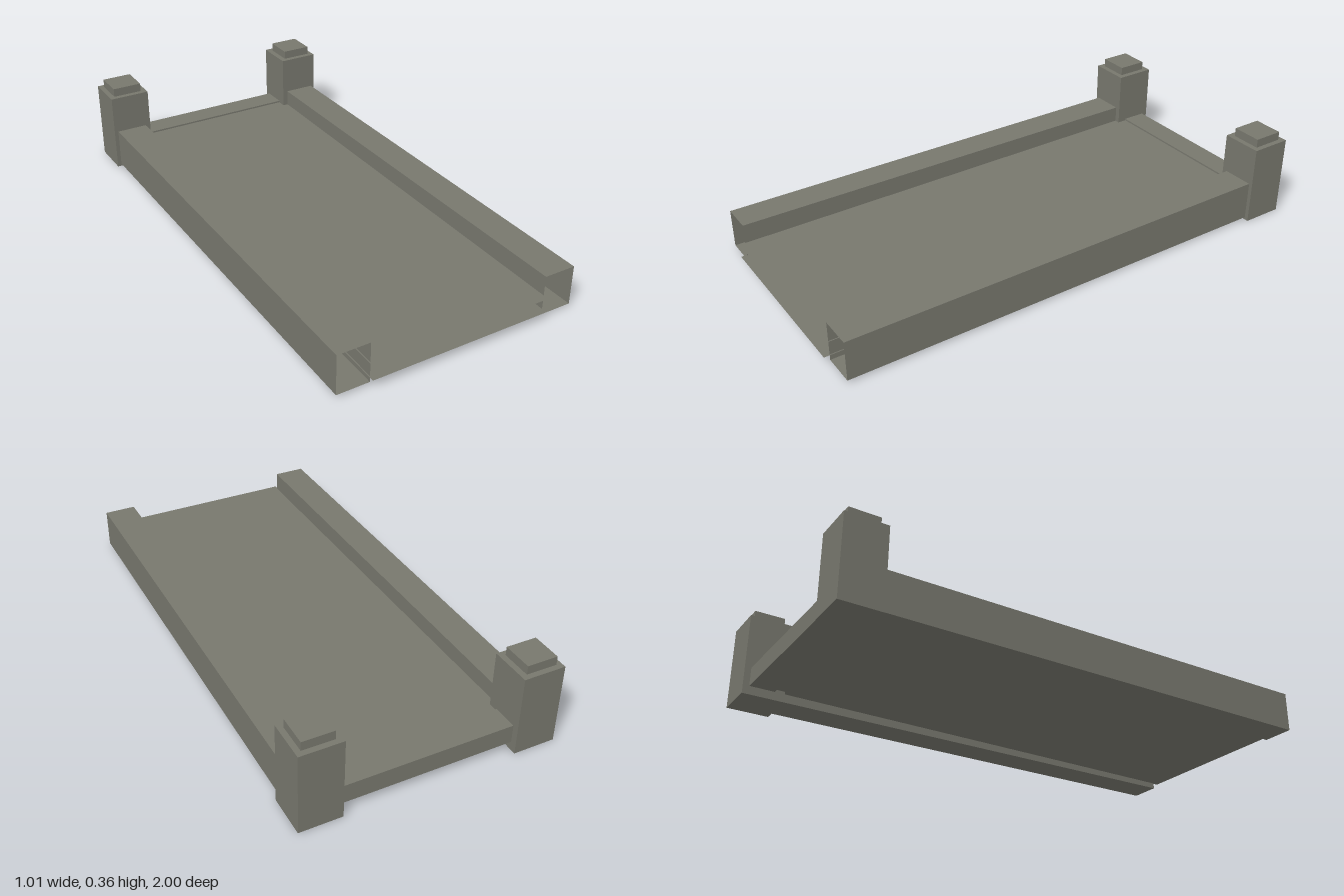
import * as THREE from 'three';

export function createModel() {
  const group = new THREE.Group();
  const stone = new THREE.MeshStandardMaterial({ color: 0x77776d, side: THREE.DoubleSide });
  stone.name = 'grey stone';

  const add = (name, geometry, x, y, z) => {
    const mesh = new THREE.Mesh(geometry, stone);
    mesh.name = name;
    mesh.position.set(x, y, z);
    group.add(mesh);
    return mesh;
  };

  // Box given by its minimum and maximum corners
  const box = (name, [x0, y0, z0], [x1, y1, z1], openEnds = false) => {
    const geometry = new THREE.BoxGeometry(x1 - x0, y1 - y0, z1 - z0);
    if (openEnds) {
      // keep only the sides, top and bottom
      geometry.setIndex(Array.from(geometry.index.array.slice(0, 24)));
      geometry.clearGroups();
    }
    return add(name, geometry, (x0 + x1) / 2, (y0 + y1) / 2, (z0 + z1) / 2);
  };

  // Posts with caps, and hollow side rails
  for (const [side, s] of [['left', 1], ['right', -1]]) {
    const span = (a, b) => (s > 0 ? [a, b] : [-b, -a]);
    const [p0, p1] = span(0.338, 0.504);
    box(side + 'Post', [p0, 0, -1], [p1, 0.325, -0.835]);
    const [c0, c1] = span(0.361, 0.483);
    box(side + 'PostCap', [c0, 0.325, -0.978], [c1, 0.36, -0.857]);
    const [r0, r1] = span(0.36, 0.488);
    box(side + 'Rail', [r0, 0.01, -0.835], [r1, 0.168, 0.977], true);
  }

  // Rail between the posts
  box('backRail', [-0.345, 0.034, -0.975], [0.345, 0.108, -0.875]);

  // Two thin deck sheets, sloping slightly down to the front
  const z0 = -0.88, z1 = 1;
  for (const [name, back, front] of [['upperDeck', 0.101, 0.09], ['lowerDeck', 0.044, 0.033]]) {
    const sheet = new THREE.PlaneGeometry(0.728, Math.hypot(z1 - z0, back - front));
    sheet.rotateX(-Math.PI / 2 + Math.atan2(back - front, z1 - z0));
    add(name, sheet, 0, (back + front) / 2, (z0 + z1) / 2);
  }

  return group;
}
